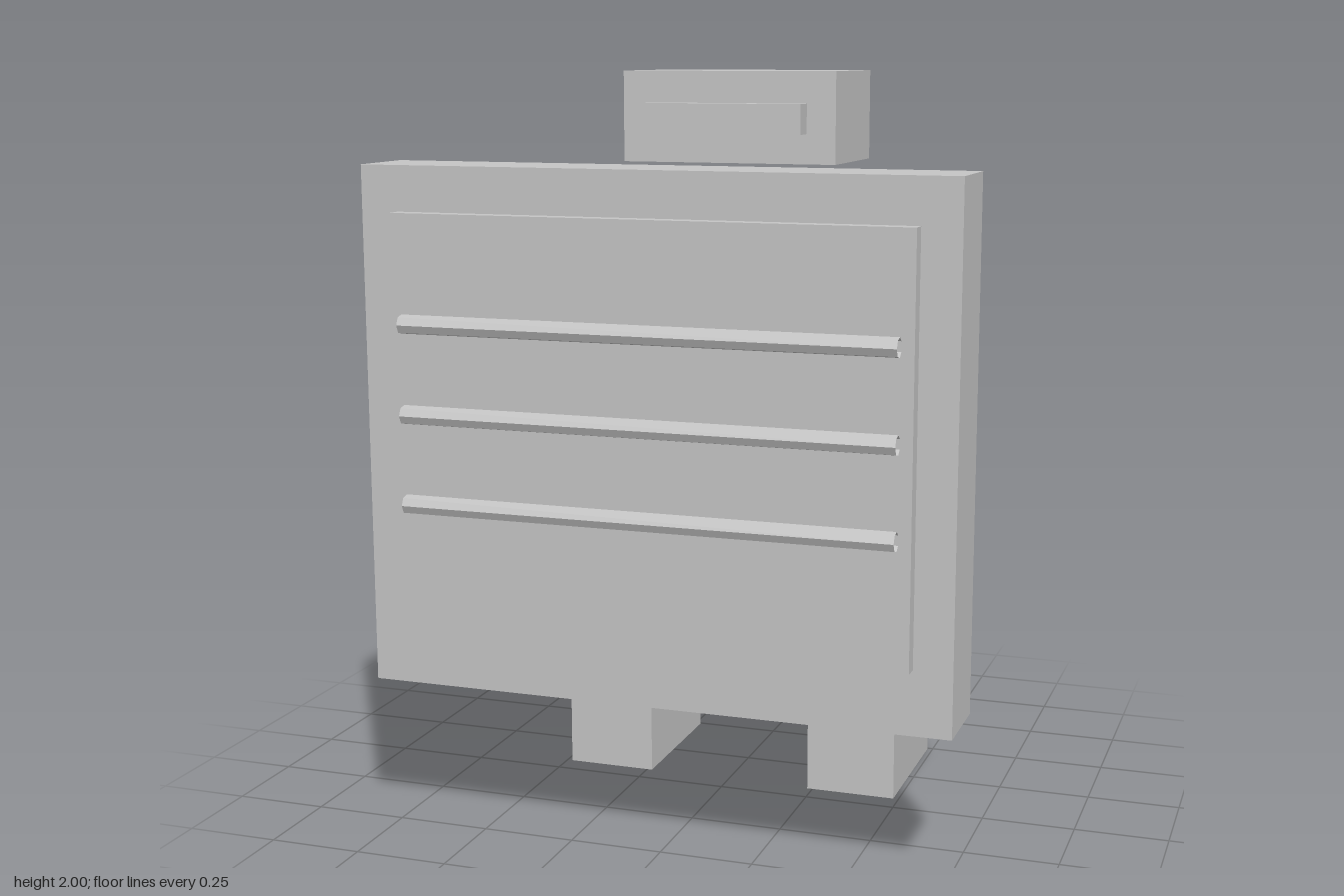
import * as THREE from 'three';

export function createModel() {
  const model = new THREE.Group();
  model.name = 'shieldRobot';

  const grey = new THREE.MeshStandardMaterial({ color: 0xc4c4c4, flatShading: true, side: THREE.DoubleSide });
  grey.name = 'plain grey';

  // Box given by its minimum and maximum on each axis
  function box(name, [x0, x1], [y0, y1], [z0, z1]) {
    const mesh = new THREE.Mesh(new THREE.BoxGeometry(x1 - x0, y1 - y0, z1 - z0), grey);
    mesh.position.set((x0 + x1) / 2, (y0 + y1) / 2, (z0 + z1) / 2);
    mesh.name = name;
    model.add(mesh);
  }

  // Open seven-sided tube running between two points
  function tube(name, from, to, radius) {
    const a = new THREE.Vector3(...from);
    const b = new THREE.Vector3(...to);
    const axis = b.clone().sub(a);
    const mesh = new THREE.Mesh(new THREE.CylinderGeometry(radius, radius, axis.length(), 7, 1, true), grey);
    mesh.position.copy(a).add(b).multiplyScalar(0.5);
    mesh.quaternion.setFromUnitVectors(new THREE.Vector3(0, 1, 0), axis.normalize());
    mesh.name = name;
    model.add(mesh);
  }

  // Body with back panel, and the head floating just above it
  box('body', [-0.565, 0.565], [0.86, 1.69], [-0.593, -0.098]);
  box('backPanel', [-0.395, 0.395], [1.035, 1.555], [-0.65, -0.59]);
  box('head', [-0.3, 0.3], [1.755, 2], [-0.415, -0.057]);
  box('visor', [-0.22, 0.22], [1.835, 1.915], [-0.06, 0.002]);

  // Shield with raised panel and three ribs
  box('shield', [-0.777, 0.777], [0.412, 1.77], [0.345, 0.558]);
  box('shieldPanel', [-0.677, 0.677], [0.58, 1.653], [0.555, 0.6]);
  for (const y of [1.375, 1.143, 0.91]) {
    tube('shieldRib', [-0.645, y, 0.62], [0.645, y, 0.62], 0.025);
  }

  // Arms, legs and feet on both sides
  for (const s of [1, -1]) {
    const side = s > 0 ? 'left' : 'right';
    tube(side + 'Arm', [s * 0.6, 1.047, 0.246], [s * 0.53, 1.48, -0.113], 0.107);
    tube(side + 'UpperLeg', [s * 0.36, 0.478, -0.249], [s * 0.36, 0.968, -0.349], 0.098);
    tube(side + 'LowerLeg', [s * 0.36, 0.12, -0.241], [s * 0.36, 0.475, -0.254], 0.079);
    const x = [s * 0.235, s * 0.485].sort((a, b) => a - b);
    box(side + 'Foot', x, [0, 0.243], [-0.495, -0.065]);
  }
  return model;
}
